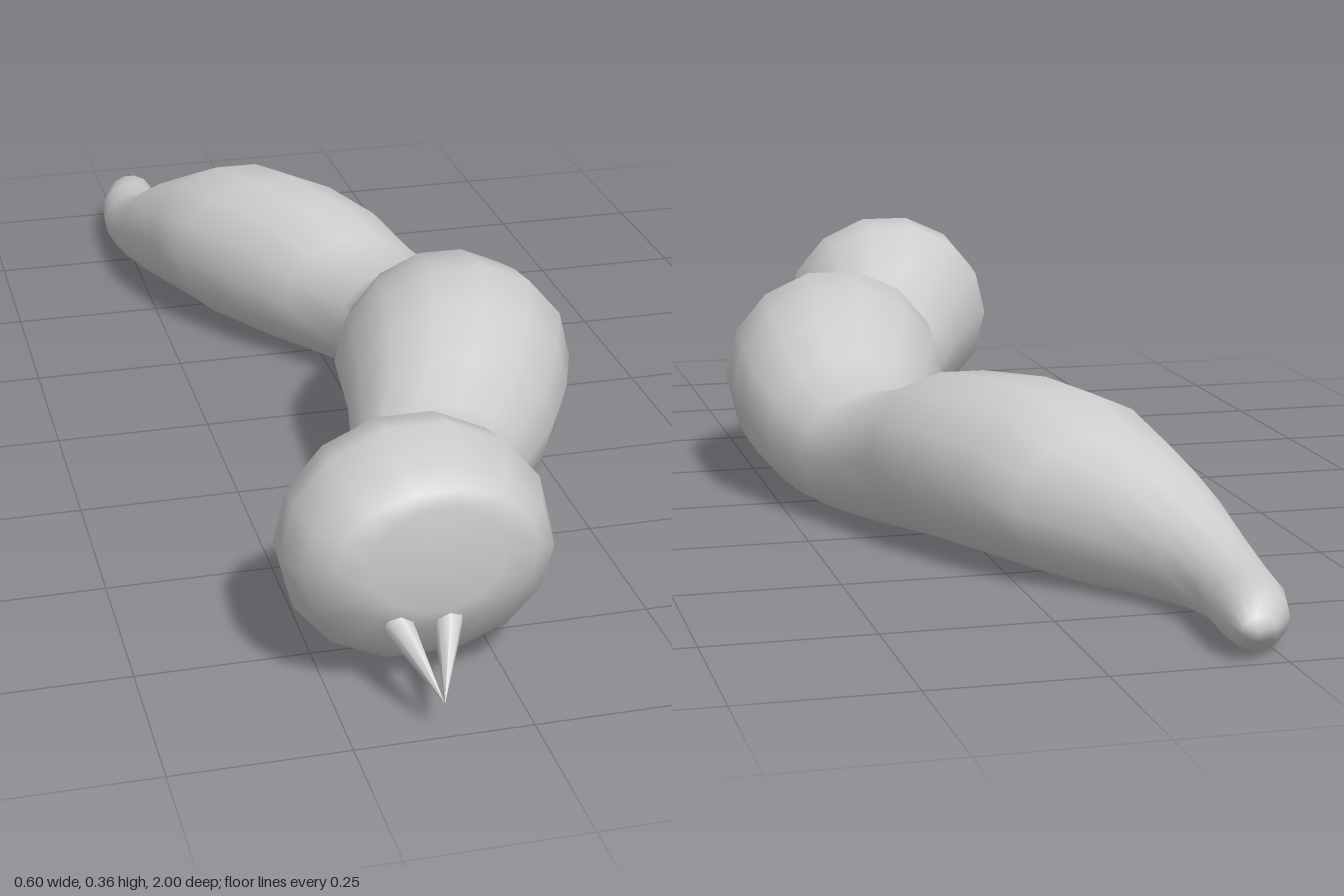
import * as THREE from 'three';

const SIDES = 14;
const material = new THREE.MeshStandardMaterial({ color: 0xcccccc });

// Cross-sections from head to tail: [z, minX, maxX, bottomY, topY]
const sections = [
  [0.908, -0.205, -0.015, 0.14, 0.295],
  [0.9, -0.25, 0.035, 0.115, 0.315],
  [0.86, -0.287, 0.067, 0.05, 0.333],
  [0.79, -0.302, 0.086, 0.006, 0.361],
  [0.73, -0.297, 0.075, 0.005, 0.35],
  [0.64, -0.222, 0.066, 0.005, 0.285],
  [0.56, -0.172, 0.1, 0.005, 0.228],
  [0.49, -0.137, 0.145, 0.005, 0.232],
  [0.41, -0.105, 0.215, 0.005, 0.277],
  [0.32, -0.088, 0.268, 0.005, 0.32],
  [0.24, -0.08, 0.298, 0.003, 0.347],
  [0.15, -0.068, 0.302, 0.003, 0.327],
  [0.05, -0.028, 0.297, 0.003, 0.297],
  [-0.02, 0.002, 0.272, 0.003, 0.245],
  [-0.11, 0.0, 0.235, 0.003, 0.203],
  [-0.2, -0.072, 0.197, 0.003, 0.228],
  [-0.28, -0.142, 0.165, 0.003, 0.268],
  [-0.4, -0.222, 0.122, 0.003, 0.278],
  [-0.5, -0.253, 0.067, 0.003, 0.27],
  [-0.58, -0.275, 0.01, 0.003, 0.23],
  [-0.66, -0.285, -0.085, 0.003, 0.187],
  [-0.74, -0.291, -0.155, 0.003, 0.138],
  [-0.82, -0.292, -0.182, 0.003, 0.107],
  [-0.9, -0.284, -0.176, 0.003, 0.1],
  [-0.96, -0.265, -0.175, 0.01, 0.095],
  [-0.992, -0.235, -0.185, 0.032, 0.065],
];

// Lofts rounded rings through the sections and closes both ends
function loftBody() {
  const pos = [], index = [];
  const flat = Math.sin((Math.PI * 2 * 3) / SIDES); // height reached by the flat top edge
  for (const [z, x0, x1, y0, y1] of sections) {
    for (let j = 0; j < SIDES; j++) {
      const a = (j / SIDES) * Math.PI * 2;
      pos.push(
        (x0 + x1) / 2 + ((x1 - x0) / 2) * Math.cos(a),
        (y0 + y1) / 2 + ((y1 - y0) / 2 / flat) * Math.sin(a),
        z
      );
    }
  }
  const last = (sections.length - 1) * SIDES;
  const front = pos.length / 3, back = front + 1;
  pos.push(-0.11, 0.215, 0.915, -0.205, 0.048, -1);
  for (let j = 0; j < SIDES; j++) {
    const k = (j + 1) % SIDES;
    for (let r = 0; r < last; r += SIDES) {
      index.push(r + j, r + SIDES + j, r + k, r + k, r + SIDES + j, r + SIDES + k);
    }
    index.push(front, j, k, back, last + k, last + j);
  }
  const geo = new THREE.BufferGeometry();
  geo.setAttribute('position', new THREE.Float32BufferAttribute(pos, 3));
  geo.setIndex(index);
  geo.computeVertexNormals();
  return geo;
}

// Slim cone running from base to tip
function fang(name, base, tip, radius) {
  const dir = tip.clone().sub(base);
  const mesh = new THREE.Mesh(new THREE.ConeGeometry(radius, dir.length(), 7), material);
  mesh.position.copy(base).add(tip).multiplyScalar(0.5);
  mesh.quaternion.setFromUnitVectors(new THREE.Vector3(0, 1, 0), dir.normalize());
  mesh.name = name;
  return mesh;
}

export function createModel() {
  const model = new THREE.Group();
  model.name = 'grub';

  const body = new THREE.Mesh(loftBody(), material);
  body.name = 'body';
  model.add(body);

  // Two mandibles meeting at a single point
  const tip = new THREE.Vector3(-0.126, 0.055, 1);
  for (const [name, side] of [['leftMandible', 1], ['rightMandible', -1]]) {
    model.add(fang(name, new THREE.Vector3(-0.126 + side * 0.036, 0.12, 0.89), tip, 0.022));
  }
  return model;
}
